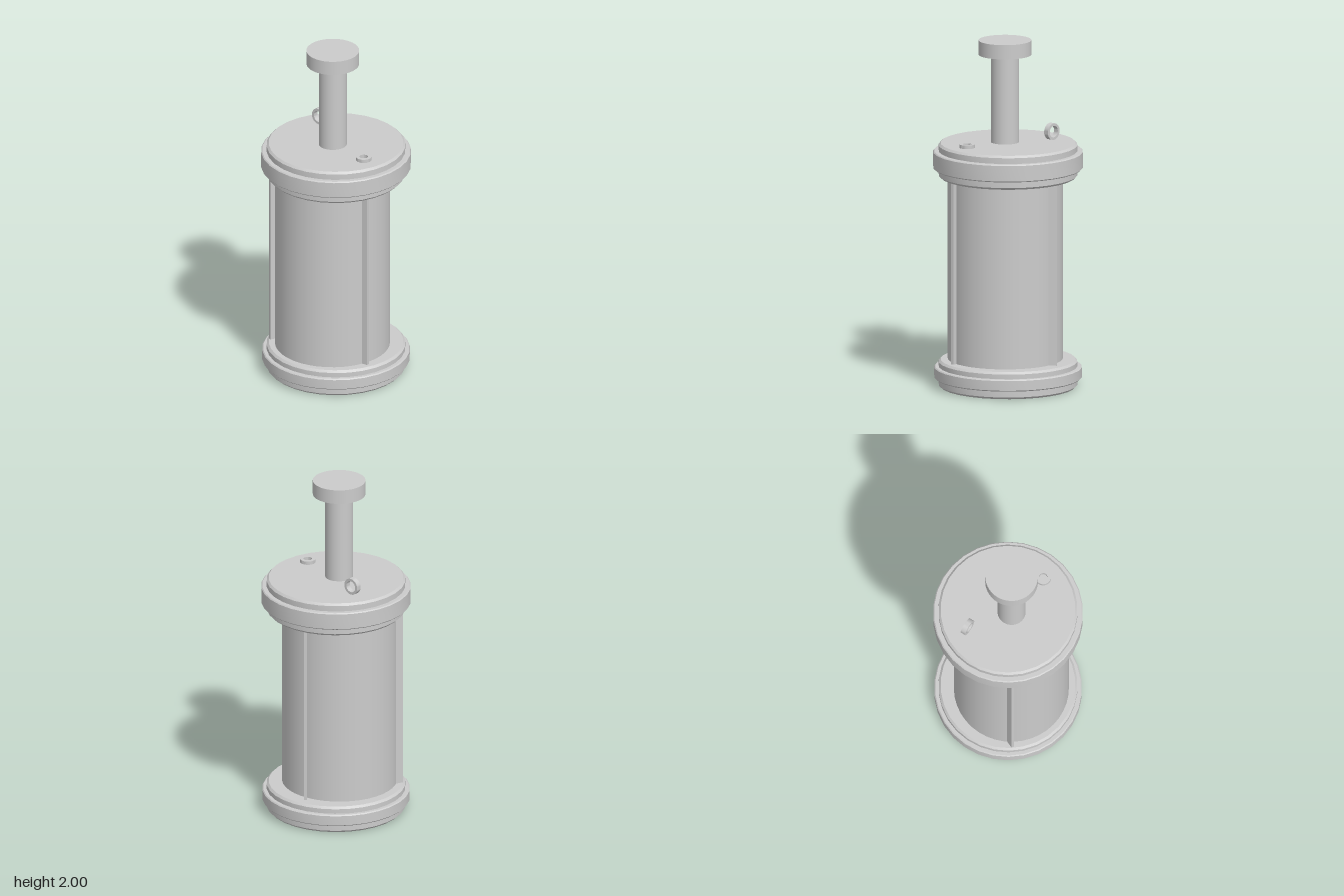
import * as THREE from 'three';
import { toCreasedNormals } from 'three/addons/utils/BufferGeometryUtils.js';

const material = new THREE.MeshStandardMaterial({ color: 0xcccccc });

export function createModel() {
  const model = new THREE.Group();
  model.name = 'plungerCanister';

  const add = (name, geometry, x, y, z) => {
    const mesh = new THREE.Mesh(geometry, material);
    mesh.name = name;
    mesh.position.set(x, y, z);
    model.add(mesh);
    return mesh;
  };

  // Turned part with crisp edges; profile is [radius, y] from bottom to top
  const turned = (profile, sides, phase = 0) => toCreasedNormals(
    new THREE.LatheGeometry(profile.map(([r, y]) => new THREE.Vector2(r, y)), sides, phase), 0.4);

  // End cap: bevelled disc with a wider bevelled band around it
  const cap = (r, band, y0, b0, b1, y1, bevel = 0.012) => turned([
    [0, y0], [r - bevel, y0], [r, y0 + bevel], [r, b0],
    [band - bevel / 2, b0], [band, b0 + bevel / 2], [band, b1 - bevel / 2], [band - bevel / 2, b1],
    [r, b1], [r, y1 - bevel], [r - bevel, y1], [0, y1],
  ], 30, THREE.MathUtils.degToRad(8));

  add('bottomCap', cap(0.395, 0.42, 0, 0.05, 0.118, 0.157), 0, 0, 0);
  add('topCap', cap(0.395, 0.426, 1.213, 1.263, 1.365, 1.41), 0, 0, 0);

  // Barrel, plunger shaft and knob share a slightly offset axis
  const ax = -0.005, az = 0.025;
  add('barrel', new THREE.CylinderGeometry(0.327, 0.327, 1.08, 40), -0.008, 0.685, az);
  add('plungerShaft', new THREE.CylinderGeometry(0.08, 0.08, 0.53, 40), ax, 1.665, az);
  add('plungerKnob', new THREE.CylinderGeometry(0.15, 0.15, 0.083, 48), ax, 1.9585, az);

  // Three flat upright strips around the barrel
  [[0.295, 0.156, 0], [-0.315, 0.165, 120], [0.002, -0.315, 240]].forEach(([x, z, angle]) => {
    const strip = add('sideStrip', new THREE.BoxGeometry(0.052, 1.08, 0.017), x, 0.685, z);
    strip.rotation.y = -THREE.MathUtils.degToRad(angle);
  });

  // Small washer-shaped port on the lid
  const washer = (outer, inner, h) => turned(
    [[inner, -h / 2], [outer, -h / 2], [outer, h / 2], [inner, h / 2], [inner, -h / 2]], 32);
  add('portRing', washer(0.044, 0.024, 0.03), 0.255, 1.415, 0.1);

  // Upright pull ring on the lid
  const ring = add('pullRing', washer(0.048, 0.033, 0.03), -0.211, 1.459, -0.154);
  ring.rotation.set(Math.PI / 2, -0.13, 0, 'YXZ');

  return model;
}
